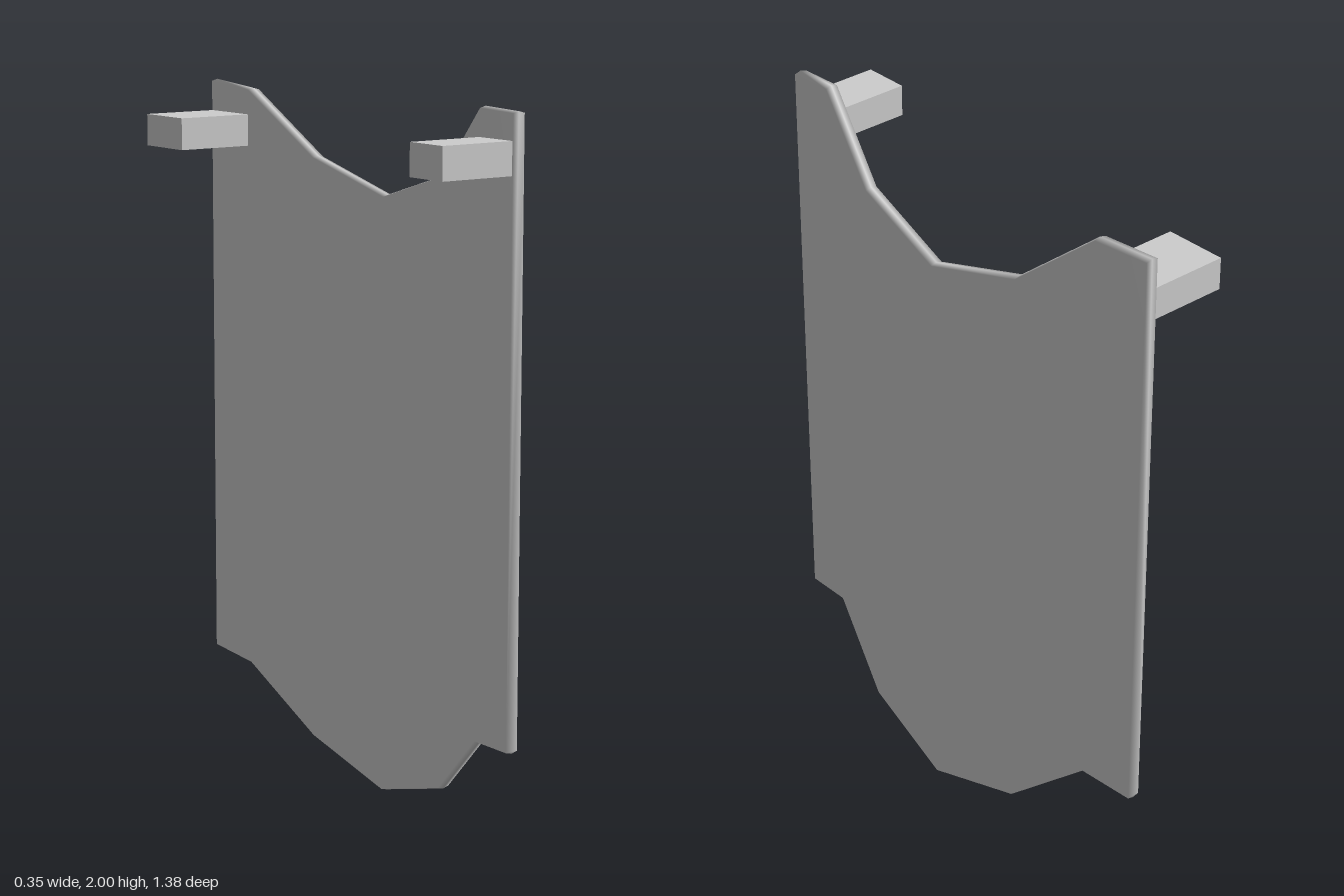
import * as THREE from 'three';

const lightGrey = new THREE.MeshStandardMaterial({ color: 0xcccccc });
lightGrey.name = 'lightGrey';

// Stations across the plate: z, inner x, outer x, bottom y, top y
const STATIONS = [
  [0.69, 0.05, 0.088, 0.29, 1.995],
  [0.555, 0.05, 0.088, 0.29, 2.0],
  [0.33, 0.103, 0.14, 0.09, 1.8],
  [0.02, 0.14, 0.176, 0.0, 1.715],
  [-0.285, 0.12, 0.157, 0.09, 1.8],
  [-0.505, 0.05, 0.088, 0.275, 1.98],
  [-0.69, 0.05, 0.088, 0.29, 1.995],
];

// Bent plate with softly ridged top and bottom rims
function plateGeometry() {
  const points = [], index = [], n = 6, bevel = 0.005;
  for (const [z, xi, xo, y0, y1] of STATIONS) {
    const xm = (xi + xo) / 2;
    points.push(
      xi, y0 + bevel, z, xm, y0, z, xo, y0 + bevel, z,
      xo, y1 - bevel, z, xm, y1, z, xi, y1 - bevel, z,
    );
  }
  for (let k = 0; k < STATIONS.length - 1; k++) {
    for (let j = 0; j < n; j++) {
      const a = k * n + j, b = k * n + (j + 1) % n;
      index.push(a, a + n, b, b, a + n, b + n);
    }
  }
  // End caps
  const last = (STATIONS.length - 1) * n;
  for (let j = 1; j < n - 1; j++) {
    index.push(0, j, j + 1, last, last + j + 1, last + j);
  }
  const geometry = new THREE.BufferGeometry();
  geometry.setAttribute('position', new THREE.Float32BufferAttribute(points, 3));
  geometry.setIndex(index);
  geometry.computeVertexNormals();
  return geometry;
}

// Mounting tab reaching inward from the plate
function makeTab(name, y0, y1, z0, z1) {
  const x0 = -0.176, x1 = 0.06;
  const tab = new THREE.Mesh(new THREE.BoxGeometry(x1 - x0, y1 - y0, z1 - z0), lightGrey);
  tab.position.set((x0 + x1) / 2, (y0 + y1) / 2, (z0 + z1) / 2);
  tab.name = name;
  return tab;
}

export function createModel() {
  const model = new THREE.Group();
  model.name = 'curvedGuardPlate';

  const plate = new THREE.Mesh(plateGeometry(), lightGrey);
  plate.name = 'plate';

  model.add(
    plate,
    makeTab('frontTab', 1.83, 1.92, 0.553, 0.688),
    makeTab('backTab', 1.815, 1.905, -0.688, -0.507),
  );
  return model;
}
